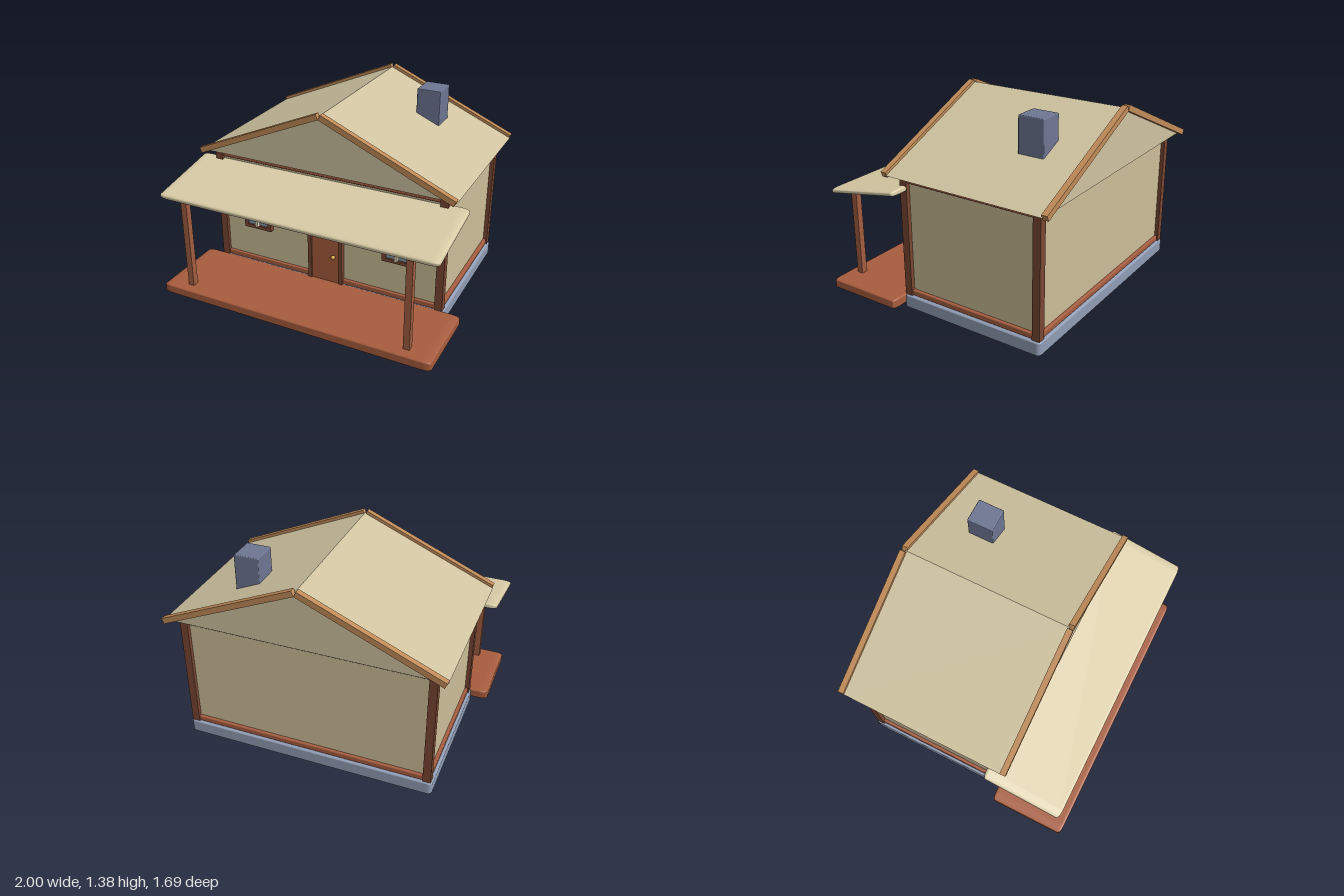
import * as THREE from 'three';
import { RoundedBoxGeometry } from 'three/addons/geometries/RoundedBoxGeometry.js';

const COLORS = {
  wall: 0xcdbe98, roof: 0xcfc3a0, awning: 0xd8cba6, post: 0x7a4732, porchPost: 0xa15d40,
  rail: 0xa75d40, deck: 0xa85d3e, barge: 0xc08b58, stone: 0x919db5, chimney: 0x6d7692,
  glass: 0x8299ac, muntin: 0xdfd6ba, knob: 0xd9a441,
};
const materials = {};
for (const key in COLORS) materials[key] = new THREE.MeshStandardMaterial({ color: COLORS[key] });

export function createModel() {
  const model = new THREE.Group();
  model.name = 'cabin';

  const add = (name, geometry, color, parent = model) => {
    const mesh = new THREE.Mesh(geometry, materials[color]);
    mesh.name = name;
    parent.add(mesh);
    return mesh;
  };
  // Sharp box given by its extents on each axis
  const box = (name, color, [x0, x1], [y0, y1], [z0, z1], parent) => {
    const mesh = add(name, new THREE.BoxGeometry(x1 - x0, y1 - y0, z1 - z0), color, parent);
    mesh.position.set((x0 + x1) / 2, (y0 + y1) / 2, (z0 + z1) / 2);
    return mesh;
  };
  // Slab with a different edge rounding along each axis
  const slab = (name, color, [w, h, d], [bx, by, bz], position) => {
    const geometry = new RoundedBoxGeometry(w / bx, h / by, d / bz, 2, 1).scale(bx, by, bz);
    const mesh = add(name, geometry, color);
    mesh.position.set(...position);
    return mesh;
  };

  // Base, deck and walls
  slab('foundation', 'stone', [1.76, 0.1, 1.075], [0.03, 0.012, 0.03], [0, 0.05, -0.228]);
  slab('porchDeck', 'deck', [2, 0.07, 0.555], [0.06, 0.012, 0.02], [0, 0.07, 0.568]);
  box('walls', 'wall', [-0.84, 0.84], [0.09, 0.935], [-0.73, 0.275]);

  // Corner posts and porch posts
  for (const s of [-1, 1]) {
    for (const z of [0.272, -0.73]) {
      const post = box('cornerPost', 'post', [-0.027, 0.027], [0.1, 0.94], [-0.027, 0.027]);
      post.position.x = s * 0.842;
      post.position.z = z;
    }
    const porchPost = box('porchPost', 'porchPost', [-0.022, 0.022], [0.1, 0.77], [0.735, 0.78]);
    porchPost.position.x = s * 0.812;
  }

  // Rails along the foot and head of every wall
  for (const y of [0.12, 0.92]) {
    for (const z of [0.272, -0.73]) {
      slab('wallRail', 'rail', [1.64, 0.04, 0.04], [0.008, 0.008, 0.008], [0, y, z]);
    }
    for (const x of [-0.842, 0.842]) {
      slab('sideRail', 'rail', [0.04, 0.04, 0.96], [0.008, 0.008, 0.008], [x, y, -0.23]);
    }
  }

  // Sloping porch awning
  const awning = slab('porchAwning', 'awning', [2, 0.038, 0.56], [0.06, 0.014, 0.02], [0, 0.817, 0.522]);
  awning.rotation.x = 0.18;

  // Solid gable roof
  const gable = new THREE.Shape([
    new THREE.Vector2(-0.942, 0.955), new THREE.Vector2(0.942, 0.955), new THREE.Vector2(0, 1.362),
  ]);
  const roof = add('gableRoof', new THREE.ExtrudeGeometry(gable, { depth: 1.17, bevelEnabled: false }), 'roof');
  roof.position.z = -0.815;

  // Boards along the four sloping gable edges
  for (const s of [-1, 1]) {
    for (const z of [0.364, -0.825]) {
      const board = add('bargeboard', new THREE.BoxGeometry(1.012, 0.04, 0.04), 'barge');
      board.position.set(s * 0.472, 1.159, z);
      board.rotation.z = -s * 0.41;
    }
  }

  slab('chimney', 'chimney', [0.17, 0.435, 0.185], [0.006, 0.006, 0.006], [0.455, 1.158, -0.472]);

  // Door with a chamfered surround
  const door = new THREE.Group();
  door.name = 'door';
  model.add(door);
  const surround = new THREE.Shape([
    [-0.133, 0.1], [-0.105, 0.1], [-0.105, 0.592], [0.105, 0.592], [0.105, 0.1],
    [0.133, 0.1], [0.133, 0.585], [0.113, 0.63], [-0.113, 0.63], [-0.133, 0.585],
  ].map(([x, y]) => new THREE.Vector2(x, y)));
  const frame = add('doorFrame', new THREE.ExtrudeGeometry(surround, { depth: 0.05, bevelEnabled: false }), 'post', door);
  frame.position.z = 0.262;
  box('doorPanel', 'deck', [-0.105, 0.105], [0.1, 0.592], [0.26, 0.302], door);
  const knob = add('doorKnob', new THREE.SphereGeometry(0.016, 16, 12), 'knob', door);
  knob.position.set(0.068, 0.315, 0.318);

  // Two windows with cross bars
  for (const s of [-1, 1]) {
    const win = new THREE.Group();
    win.name = 'window';
    win.position.set(s * 0.54, 0.52, 0);
    model.add(win);
    for (const t of [-1, 1]) {
      const jamb = box('windowJamb', 'post', [-0.014, 0.014], [-0.13, 0.13], [0.265, 0.315], win);
      jamb.position.x = t * 0.094;
      const ledge = box('windowLedge', 'post', [-0.08, 0.08], [-0.013, 0.013], [0.265, 0.315], win);
      ledge.position.y = t * 0.117;
    }
    box('windowGlass', 'glass', [-0.08, 0.08], [-0.105, 0.105], [0.265, 0.305], win);
    box('uprightMuntin', 'muntin', [-0.01, 0.01], [-0.107, 0.107], [0.3, 0.333], win);
    box('crossMuntin', 'muntin', [-0.1, 0.1], [-0.01, 0.01], [0.3, 0.335], win);
  }

  return model;
}
